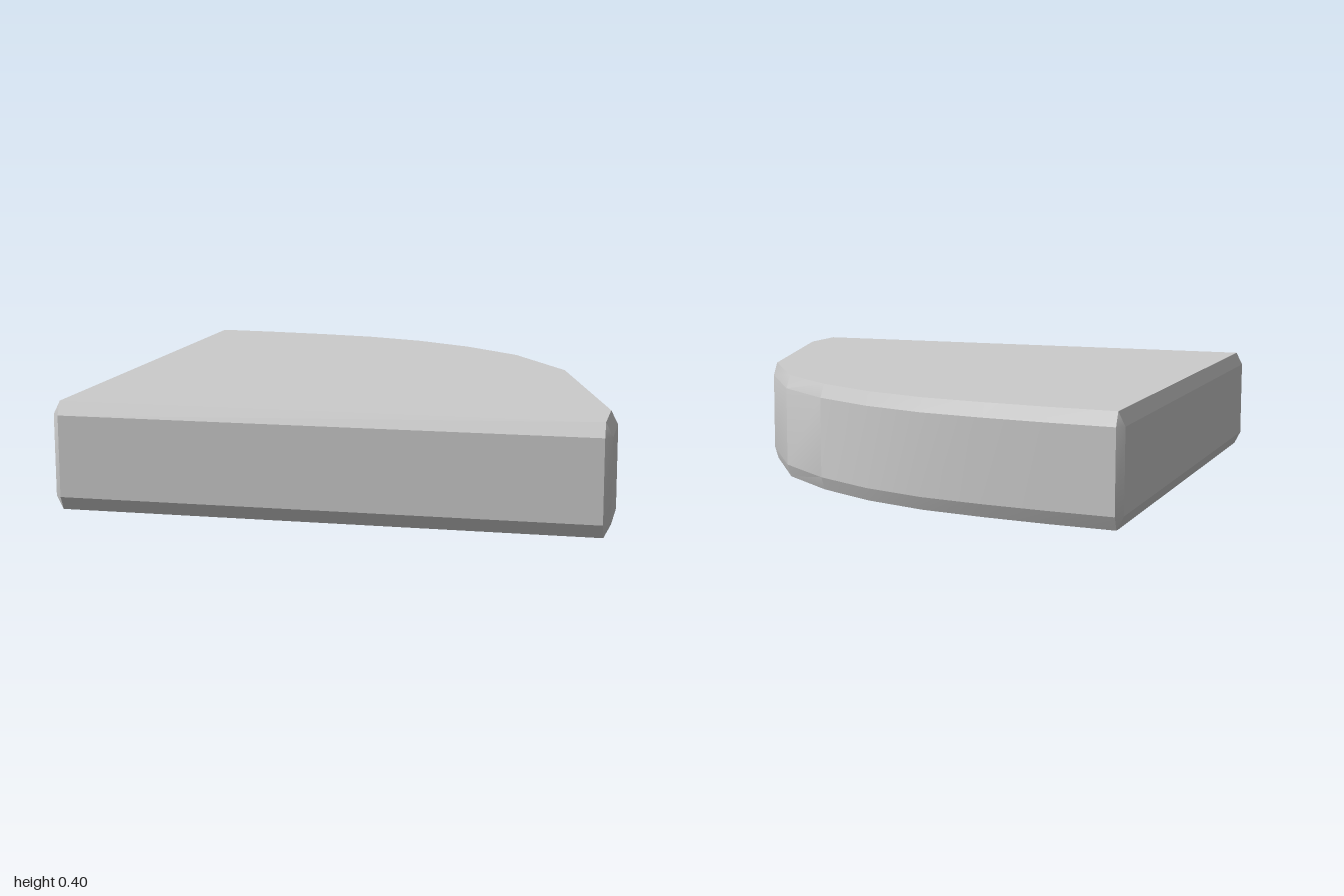
import * as THREE from 'three';
import { toCreasedNormals } from 'three/addons/utils/BufferGeometryUtils.js';

// Each row: outer x, z (the wall), then inner x, z (top and bottom face), counter-clockwise from above
const OUTLINE = [
  [-1, 0.975, -0.975, 0.975],
  [-0.975, 1, -0.975, 0.975],
  [0.975, 1, 0.975, 0.975],
  [1, 0.975, 0.975, 0.975],
  [1, 0.75, 0.975, 0.75],
  [0.975, 0.73, 0.975, 0.75],
  [0.73, -0.12, 0.725, -0.1],
  [0.485, -0.49, 0.48, -0.468],
  [0.243, -0.69, 0.24, -0.667],
  [0, -0.825, 0, -0.802],
  [-0.245, -0.91, -0.245, -0.887],
  [-0.49, -0.952, -0.49, -0.929],
  [-0.73, -0.98, -0.73, -0.957],
  [-0.975, -1, -0.975, -0.975],
  [-1, -0.975, -0.975, -0.975],
];

function slabGeometry() {
  const n = OUTLINE.length;
  const inner = (y) => OUTLINE.map((p) => new THREE.Vector3(p[2], y, p[3]));
  const outer = (y) => OUTLINE.map((p) => new THREE.Vector3(p[0], y, p[1]));
  const rings = [inner(0), outer(0.05), outer(0.35), inner(0.4)];
  const points = [];
  const triangle = (a, b, c) => {
    // Shared bevel corners collapse to a point, so skip empty triangles
    if (new THREE.Triangle(a, b, c).getArea() > 1e-7) points.push(a, b, c);
  };

  // Bevelled and vertical sides
  for (let r = 0; r < 3; r++) {
    for (let i = 0; i < n; i++) {
      const j = (i + 1) % n;
      const [a, b, c, d] = [rings[r][i], rings[r][j], rings[r + 1][j], rings[r + 1][i]];
      triangle(a, b, c);
      triangle(a, c, d);
    }
  }
  // Top and bottom faces
  for (let i = 1; i < n - 1; i++) {
    triangle(rings[3][0], rings[3][i], rings[3][i + 1]);
    triangle(rings[0][0], rings[0][i + 1], rings[0][i]);
  }

  const geometry = new THREE.BufferGeometry().setFromPoints(points);
  return toCreasedNormals(geometry, 0.38); // smooth along the curve, sharp at bevels
}

export function createModel() {
  const group = new THREE.Group();
  group.name = 'curvedCornerTile';
  const slab = new THREE.Mesh(slabGeometry(), new THREE.MeshStandardMaterial({ color: 0xcccccc }));
  slab.name = 'bevelledSlab';
  group.add(slab);
  return group;
}
